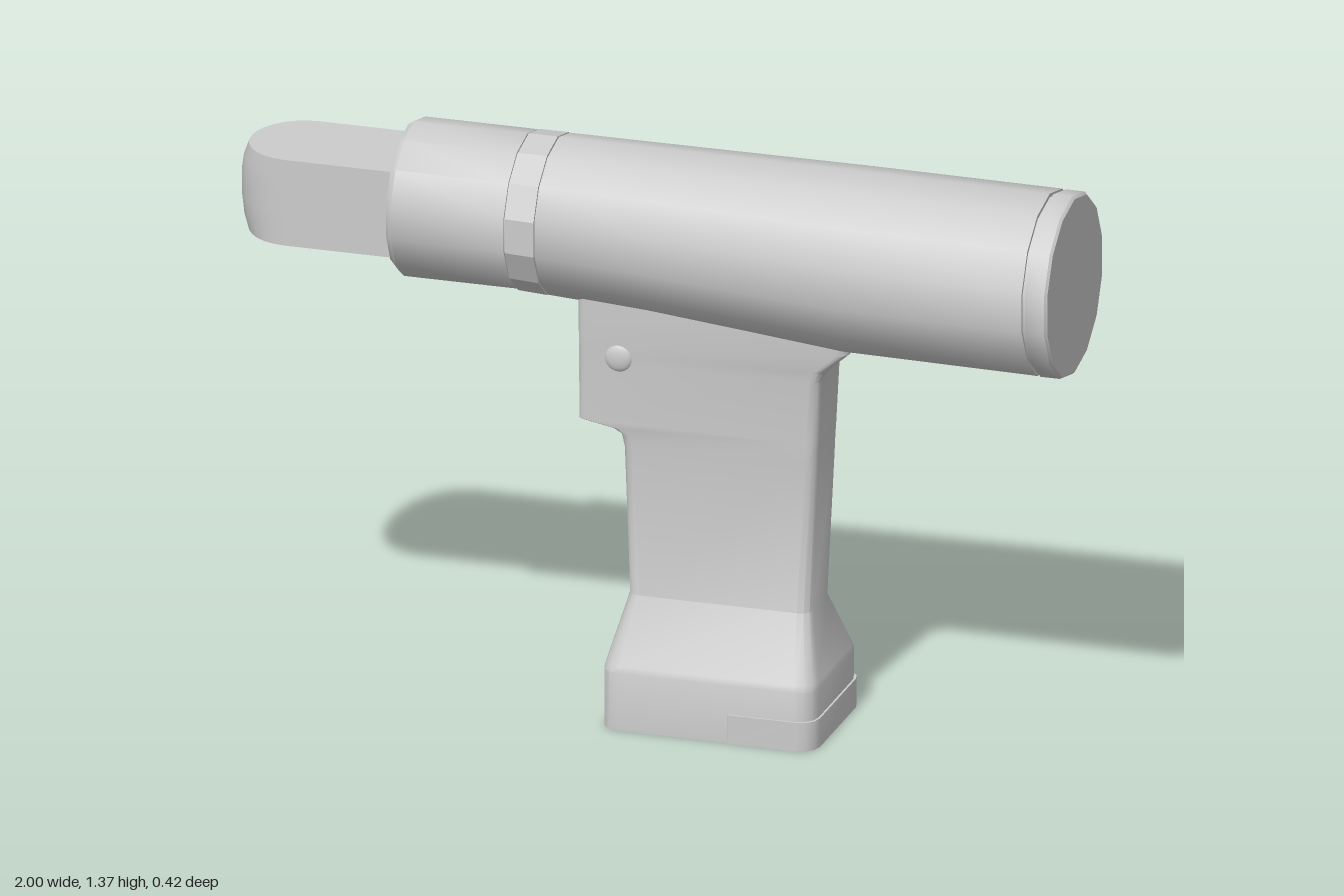
import * as THREE from 'three';
import { toCreasedNormals } from 'three/addons/utils/BufferGeometryUtils.js';

const material = new THREE.MeshStandardMaterial({ color: 0xcccccc });

// Skins a list of equal-length rings and closes both ends
function loft(name, rings, crease = 0.6) {
  const n = rings[0].length, pos = rings.flat(2), index = [];
  for (let i = 0; i < rings.length - 1; i++) {
    for (let j = 0; j < n; j++) {
      const k = (j + 1) % n, a = i * n + j, b = i * n + k;
      index.push(a, b, b + n, a, b + n, a + n);
    }
  }
  const last = (rings.length - 1) * n;
  for (let j = 1; j < n - 1; j++) {
    index.push(0, j + 1, j, last, last + j, last + j + 1);
  }
  const geo = new THREE.BufferGeometry();
  geo.setAttribute('position', new THREE.Float32BufferAttribute(pos, 3));
  geo.setIndex(index);
  const mesh = new THREE.Mesh(toCreasedNormals(geo, crease), material);
  mesh.name = name;
  return mesh;
}

// 14-sided ring across the barrel; the top line stays level as the radius grows
function barrelRing([x, r, top = 1.37]) {
  return Array.from({ length: 14 }, (_, j) => {
    const a = (j / 14) * Math.PI * 2;
    return [x, top - r + r * Math.cos(a), r * Math.sin(a)];
  });
}

// Horizontal rectangle with rounded corners; rBack rounds +x, rFront rounds -x
function gripRing([y, x0, x1, h, rBack, rFront = rBack]) {
  const pts = [];
  for (let k = 0; k < 4; k++) {
    const sz = k === 0 || k === 3 ? 1 : -1, back = k < 2, r = back ? rBack : rFront;
    for (let s = 0; s <= 3; s++) {
      const a = (k + s / 3) * Math.PI / 2;
      pts.push([(back ? x1 - r : x0 + r) + r * Math.sin(a), y, sz * (h - r) + r * Math.cos(a)]);
    }
  }
  return pts;
}

// Flat-sided outline with a half-round nose reaching out by e
function headRing([y, e]) {
  const h = 0.132, pts = [[-0.55, y, h], [-0.55, y, -h]];
  for (let s = 0; s <= 14; s++) {
    const t = (s / 14) * Math.PI;
    pts.push([-0.86 - e * Math.sin(t), y, -h * Math.cos(t)]);
  }
  return pts;
}

// Shallow domed button
function button(name, radius, depth, x, y, z, axis) {
  const mesh = new THREE.Mesh(new THREE.SphereGeometry(radius, 20, 12), material);
  mesh.name = name;
  mesh.scale[axis] = depth / radius;
  mesh.position.set(x, y, z);
  return mesh;
}

export function createModel() {
  const group = new THREE.Group();

  // Barrel: nose collar, faceted band, tapering body, groove and end cap
  group.add(
    loft('noseCollar', [[-0.605, 0.174, 1.36], [-0.59, 0.185], [-0.318, 0.185]].map(barrelRing)),
    loft('bandCore', [[-0.33, 0.18, 1.365], [-0.23, 0.182, 1.365]].map(barrelRing)),
    loft('band', [[-0.315, 0.187, 1.371], [-0.245, 0.189, 1.371]].map(barrelRing), 0.1),
    loft('barrel', [[-0.242, 0.188], [0, 0.195], [0.25, 0.206], [0.47, 0.216], [0.94, 0.2175, 1.367]].map(barrelRing)),
    loft('groove', [[0.93, 0.21, 1.358], [0.96, 0.21, 1.358]].map(barrelRing)),
    loft('endCap', [[0.948, 0.2175, 1.366], [0.994, 0.2175, 1.366], [1, 0.212, 1.36]].map(barrelRing)),
  );

  // Protruding head with a slightly bulged round nose
  group.add(loft('head', [[1.08, 0.122], [1.12, 0.135], [1.16, 0.14], [1.22, 0.14], [1.255, 0.135], [1.29, 0.122]].map(headRing)));

  // Grip: flared foot, slim handle, switch housing, blend into the barrel
  group.add(loft('grip', [
    [0, -0.09, 0.425, 0.176, 0.045],
    [0.14, -0.09, 0.425, 0.176, 0.045],
    [0.155, -0.087, 0.423, 0.17, 0.045],
    [0.3, -0.053, 0.387, 0.082, 0.03],
    [0.66, -0.063, 0.402, 0.087, 0.025],
    [0.69, -0.07, 0.403, 0.088, 0.025],
    [0.705, -0.095, 0.404, 0.088, 0.025],
    [0.72, -0.17, 0.405, 0.088, 0.025, 0.018],
    [0.87, -0.17, 0.412, 0.091, 0.025, 0.018],
    [0.895, -0.17, 0.422, 0.092, 0.025, 0.018],
    [0.945, -0.17, 0.48, 0.094, 0.025, 0.018],
    [1.06, -0.17, 0.48, 0.094, 0.025, 0.018],
  ].map(gripRing)));

  // Slightly proud cover on the back of the foot
  group.add(loft('footCover', [
    [0, 0.22, 0.43, 0.181, 0.045, 0.002],
    [0.07, 0.22, 0.43, 0.181, 0.045, 0.002],
  ].map(gripRing)));

  // Side buttons and trigger button
  for (const s of [1, -1]) {
    group.add(button(s > 0 ? 'frontButton' : 'backButton', 0.033, 0.012, -0.07, 0.88, s * 0.089, 'z'));
  }
  group.add(button('triggerButton', 0.056, 0.014, -0.17, 0.833, 0, 'x'));

  return group;
}
